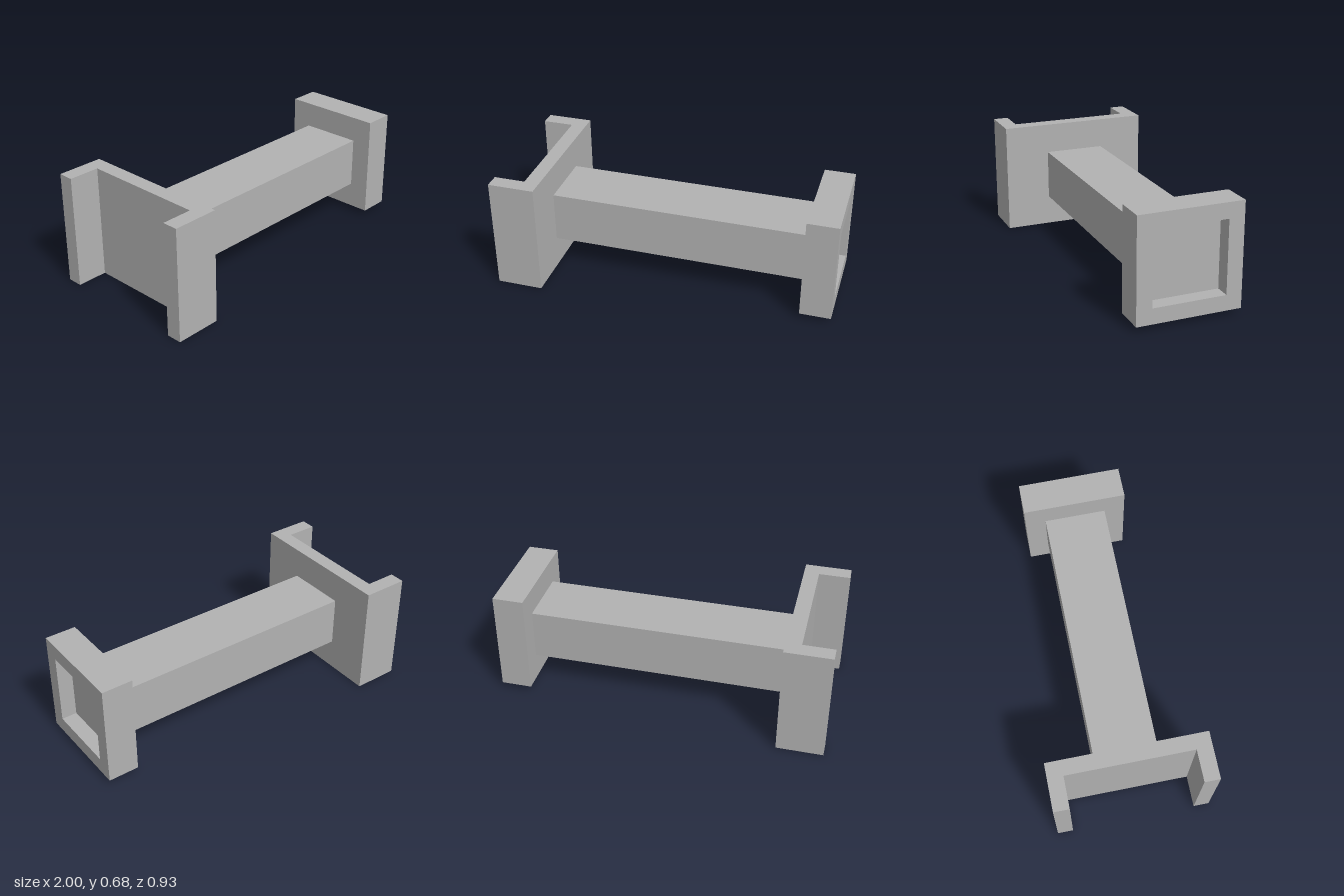
import * as THREE from 'three';

const grey = new THREE.MeshStandardMaterial({ color: 0xb2b2b2 });
grey.name = 'plain grey';

// Closed outline from [x, y] points
const trace = (T, pts) => {
  const s = new T();
  pts.forEach(([x, y], i) => (i ? s.lineTo(x, y) : s.moveTo(x, y)));
  s.closePath();
  return s;
};
const square = (T, h) => trace(T, [[-h, -h], [h, -h], [h, h], [-h, h]]);

const extrude = (shape, depth) =>
  new THREE.ExtrudeGeometry(shape, { depth, bevelEnabled: false });

export function createModel() {
  const group = new THREE.Group();
  const add = (name, geometry, x = 0, y = 0, z = 0) => {
    const mesh = new THREE.Mesh(geometry, grey);
    mesh.name = name;
    mesh.position.set(x, y, z);
    group.add(mesh);
  };
  const midY = 0.34;

  // U-shaped channel, open towards -x, extruded upwards
  const channel = trace(THREE.Shape, [
    [-1, -0.463], [-0.725, -0.463], [-0.725, 0.463], [-1, 0.463],
    [-1, 0.371], [-0.815, 0.371], [-0.815, -0.371], [-1, -0.371],
  ]);
  add('channelBracket', extrude(channel, 0.678).rotateX(-Math.PI / 2));

  // Beam joining the two ends
  add('beam', new THREE.BoxGeometry(1.54, 0.306, 0.37), 0.045, midY, 0);

  // Square socket: solid back plate and a rim around the recess
  add('socketBack', new THREE.BoxGeometry(0.093, 0.616, 0.616), 0.8615, midY, 0);
  const rim = square(THREE.Shape, 0.308);
  rim.holes.push(square(THREE.Path, 0.216));
  add('socketRim', extrude(rim, 0.092).rotateY(Math.PI / 2), 0.908, midY, 0);

  return group;
}
